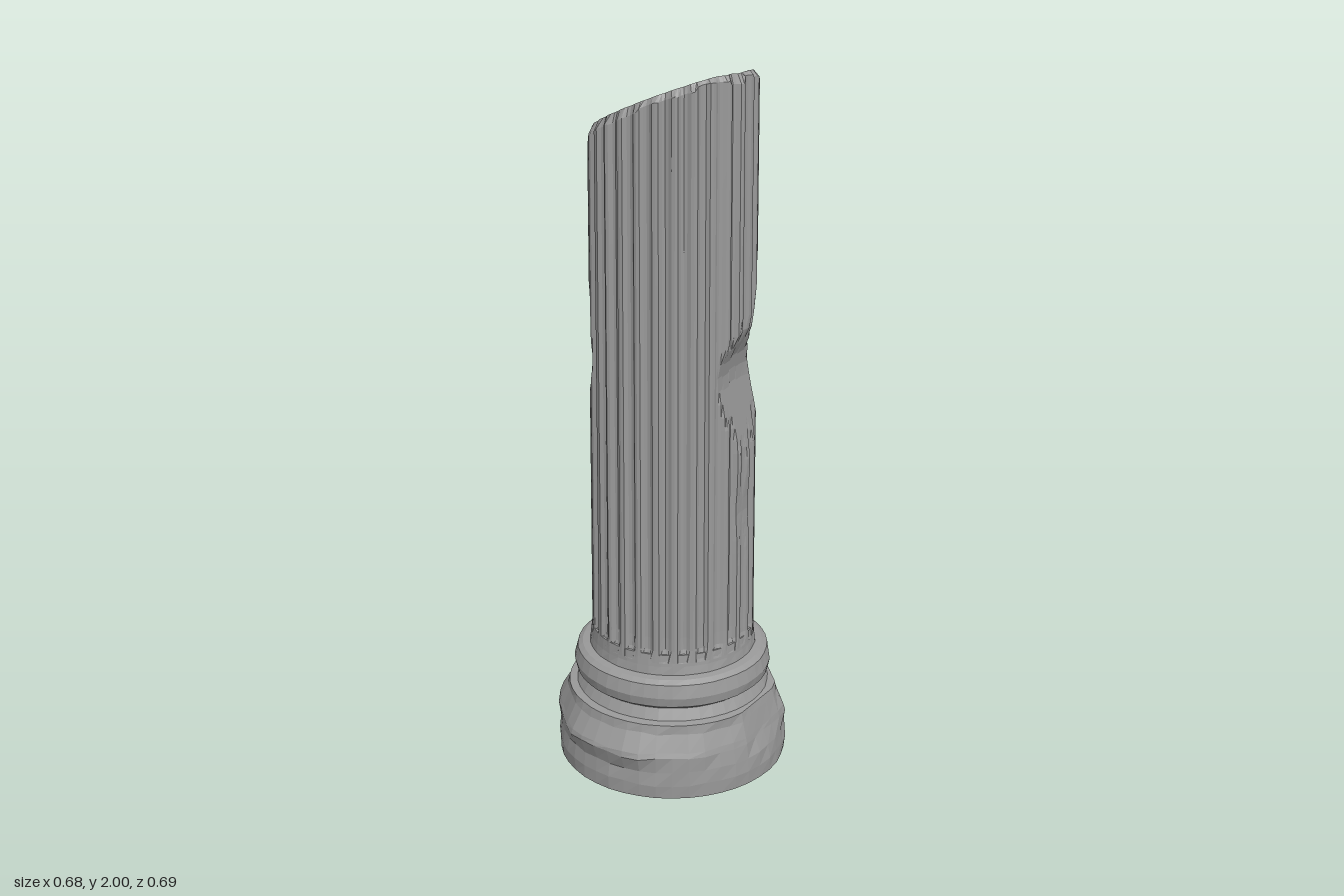
import * as THREE from 'three';

const material = new THREE.MeshStandardMaterial({ color: 0x999999, flatShading: true });

// Seeded random numbers for weathering
function seeded(seed) {
  return () => {
    seed = (seed * 16807) % 2147483647;
    return seed / 2147483647;
  };
}

// Linear interpolation through [key, value] pairs
function sample(pairs, k) {
  if (k <= pairs[0][0]) return pairs[0][1];
  for (let i = 1; i < pairs.length; i++) {
    const [k0, v0] = pairs[i - 1], [k1, v1] = pairs[i];
    if (k <= k1) return v0 + (v1 - v0) * (k - k0) / (k1 - k0);
  }
  return pairs[pairs.length - 1][1];
}

// A chip is a flat cut facing an angle, its distance from the axis varying with height
function chipped(radius, angle, y, chips) {
  for (const chip of chips) {
    const c = Math.cos(angle - chip.angle);
    if (c > 0.3 && y >= chip.cut[0][0] && y <= chip.cut[chip.cut.length - 1][0]) {
      radius = Math.min(radius, sample(chip.cut, y) / c);
    }
  }
  return radius;
}

// Closed skin over stacked rings; point(row, angle, column) gives [x, y, z]
function ringMesh(name, rows, columns, point, bottomY, topY) {
  const positions = [], index = [];
  for (let r = 0; r < rows; r++) {
    for (let c = 0; c < columns; c++) positions.push(...point(r, (c / columns) * Math.PI * 2, c));
  }
  const low = rows * columns, high = low + 1;
  positions.push(0, bottomY, 0, 0, topY, 0);
  for (let c = 0; c < columns; c++) {
    const n = (c + 1) % columns;
    for (let r = 0; r < rows - 1; r++) {
      const a = r * columns + c, b = r * columns + n;
      index.push(a, a + columns, b, b, a + columns, b + columns);
    }
    const t = (rows - 1) * columns;
    index.push(low, c, n, high, t + n, t + c);
  }
  const geometry = new THREE.BufferGeometry();
  geometry.setAttribute('position', new THREE.Float32BufferAttribute(positions, 3));
  geometry.setIndex(index);
  geometry.computeVertexNormals();
  const mesh = new THREE.Mesh(geometry, material);
  mesh.name = name;
  return mesh;
}

// Moulded, weathered base
function makeBase() {
  const random = seeded(41);
  const profile = [
    [0, 0.333], [0.04, 0.336], [0.082, 0.332], [0.125, 0.345], [0.14, 0.342], [0.19, 0.31],
    [0.215, 0.303], [0.218, 0.28], [0.25, 0.264], [0.262, 0.28], [0.29, 0.286], [0.328, 0.277],
    [0.338, 0.262], [0.341, 0.241], [0.365, 0.237], [0.4, 0.234],
  ];
  const chips = [
    { angle: 1.1, cut: [[0, 0.34], [0.125, 0.33], [0.2, 0.3]] },
    { angle: 0.15, cut: [[0.07, 0.335], [0.1, 0.318], [0.2, 0.292], [0.25, 0.28]] },
    { angle: 0.65, cut: [[0.05, 0.336], [0.13, 0.322], [0.2, 0.298]] },
    { angle: -0.6, cut: [[0, 0.334], [0.1, 0.327], [0.22, 0.287], [0.3, 0.27]] },
    { angle: -1.85, cut: [[0.08, 0.34], [0.13, 0.327], [0.2, 0.29], [0.24, 0.28]] },
    { angle: 2.5, cut: [[0, 0.334], [0.12, 0.332], [0.19, 0.303]] },
    { angle: -2.5, cut: [[0, 0.336], [0.13, 0.332], [0.2, 0.297]] },
  ];
  return ringMesh('base', profile.length, 44, (r, angle) => {
    const [y, radius] = profile[r];
    const worn = r > 0 && y < 0.2;
    const lift = worn ? (random() - 0.5) * 0.006 : 0;
    const rad = chipped(radius + 0.001 - random() * (worn ? 0.005 : 0.002), angle, y, chips);
    return [rad * Math.cos(angle) + 0.004, y + lift, rad * Math.sin(angle)];
  }, 0, 0.4);
}

// Fluted shaft with a slanting break and chipped sides
function makeShaft() {
  const random = seeded(7);
  const flutes = 28, perFlute = 6, columns = flutes * perFlute, sideRows = 44;
  const fluteDepth = [0, 0.002, 0.011, 0.014, 0.011, 0.002];
  const chips = [
    { angle: 0, cut: [[0.93, 0.236], [1.05, 0.21], [1.18, 0.182], [1.24, 0.19], [1.34, 0.236]] },
    { angle: -0.6, cut: [[1.0, 0.236], [1.18, 0.205], [1.28, 0.198], [1.36, 0.208], [1.55, 0.236]] },
    { angle: 0.1, cut: [[0.6, 0.235], [0.8, 0.222], [1.0, 0.235]] },
    { angle: -2.36, cut: [[0.96, 0.235], [1.05, 0.213], [1.1, 0.213], [1.13, 0.235]] },
    { angle: 2.9, cut: [[1.08, 0.235], [1.2, 0.203], [1.3, 0.212], [1.5, 0.235]] },
    { angle: Math.PI, cut: [[1.55, 0.232], [1.76, 0.216], [1.85, 0.19]] },
    { angle: -2.5, cut: [[1.5, 0.235], [1.7, 0.22], [1.8, 0.2], [1.95, 0.18]] },
    { angle: -1.1, cut: [[1.35, 0.235], [1.7, 0.22], [1.95, 0.212], [2.1, 0.206]] },
  ];
  // The break falls towards -x and a little towards the back
  const breakHeight = (x, z) => Math.min(2, 1.91 + 0.42 * x + 0.11 * z);
  const fluteWear = Array.from({ length: flutes }, () => random());
  const columnWear = Array.from({ length: columns }, () => random() * 0.002);
  return ringMesh('flutedShaft', sideRows + 1, columns, (r, angle, c) => {
    const rim = r === sideRows;
    const t = Math.min(r / (sideRows - 1), 1);
    const wear = fluteWear[Math.floor(c / perFlute)];
    const outer = 0.236 - 0.008 * t;
    const top = breakHeight(outer * Math.cos(angle), outer * Math.sin(angle)) - 0.018 * (0.5 + wear);
    const y = 0.375 + (top - 0.375) * t;
    // Flutes fade in at the foot, with a slightly uneven depth
    const fade = THREE.MathUtils.clamp((y - 0.385) / 0.03, 0, 1);
    const depth = (fluteDepth[c % perFlute] * (0.7 + 0.5 * wear) + columnWear[c]) * fade;
    let rad = chipped(outer - depth, angle, y, chips);
    if (rim) rad = Math.min(rad - 0.008, 0.212);
    const x = rad * Math.cos(angle), z = rad * Math.sin(angle);
    return [x + 0.005, rim ? breakHeight(x + 0.008, z) : y, z];
  }, 0.375, 1.908);
}

export function createModel() {
  const column = new THREE.Group();
  column.name = 'brokenColumn';
  column.add(makeBase(), makeShaft());
  return column;
}
